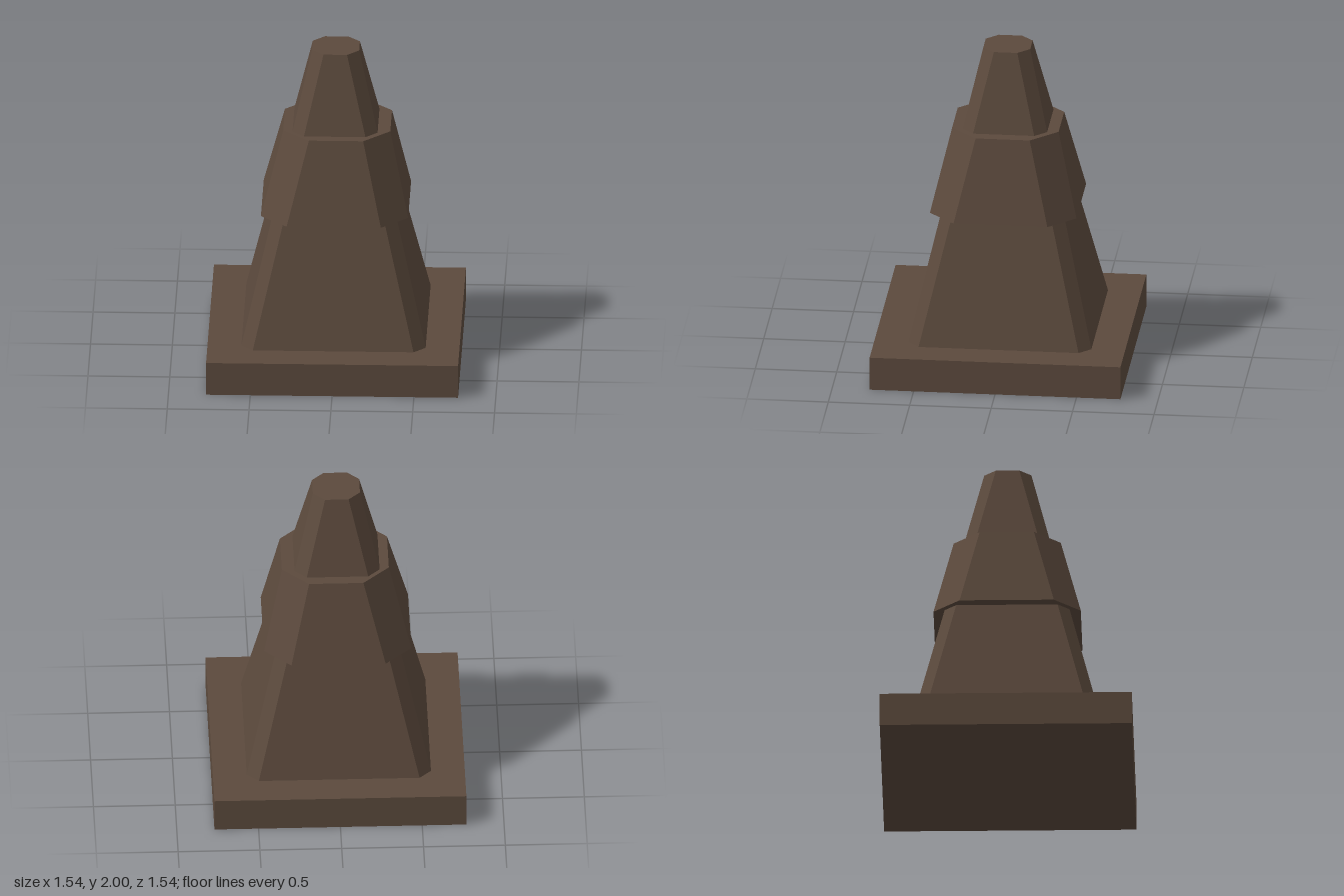
import * as THREE from 'three';

const orange = new THREE.MeshStandardMaterial({ color: 0x5c4a3d, flatShading: true });

// Square of half width h with cut corners; f is half the length of each flat side
function octagon({ y, h, f, x = 0, z = 0 }) {
  return [[h, -f], [h, f], [f, h], [-f, h], [-h, f], [-h, -f], [-f, -h], [f, -h]]
    .map(([px, pz]) => new THREE.Vector3(px + x, y, pz + z));
}

// Closed tapered solid between two octagons
function taper(name, lower, upper) {
  const a = octagon(lower), b = octagon(upper);
  const ca = new THREE.Vector3(lower.x || 0, lower.y, lower.z || 0);
  const cb = new THREE.Vector3(upper.x || 0, upper.y, upper.z || 0);
  const points = [];
  for (let i = 0; i < 8; i++) {
    const j = (i + 1) % 8;
    points.push(a[i], b[i], a[j], a[j], b[i], b[j]); // side
    points.push(cb, b[j], b[i], ca, a[i], a[j]);     // caps
  }
  const geometry = new THREE.BufferGeometry().setFromPoints(points);
  geometry.computeVertexNormals();
  const mesh = new THREE.Mesh(geometry, orange);
  mesh.name = name;
  return mesh;
}

export function createModel() {
  const model = new THREE.Group();
  model.name = 'trafficCone';

  // Square foot plate
  const base = new THREE.Mesh(new THREE.BoxGeometry(1.54, 0.21, 1.54), orange);
  base.name = 'base';
  base.position.y = 0.105;
  model.add(base);

  // Cone body running through the raised band
  model.add(taper('coneBody',
    { y: 0.21, h: 0.563, f: 0.491 },
    { y: 2, h: 0.144, f: 0.072 }));

  // Raised band with wide corner cuts, its top slightly off centre
  model.add(taper('band',
    { y: 0.985, h: 0.45, f: 0.288 },
    { y: 1.505, h: 0.327, f: 0.166, x: 0.01, z: -0.002 }));

  return model;
}
